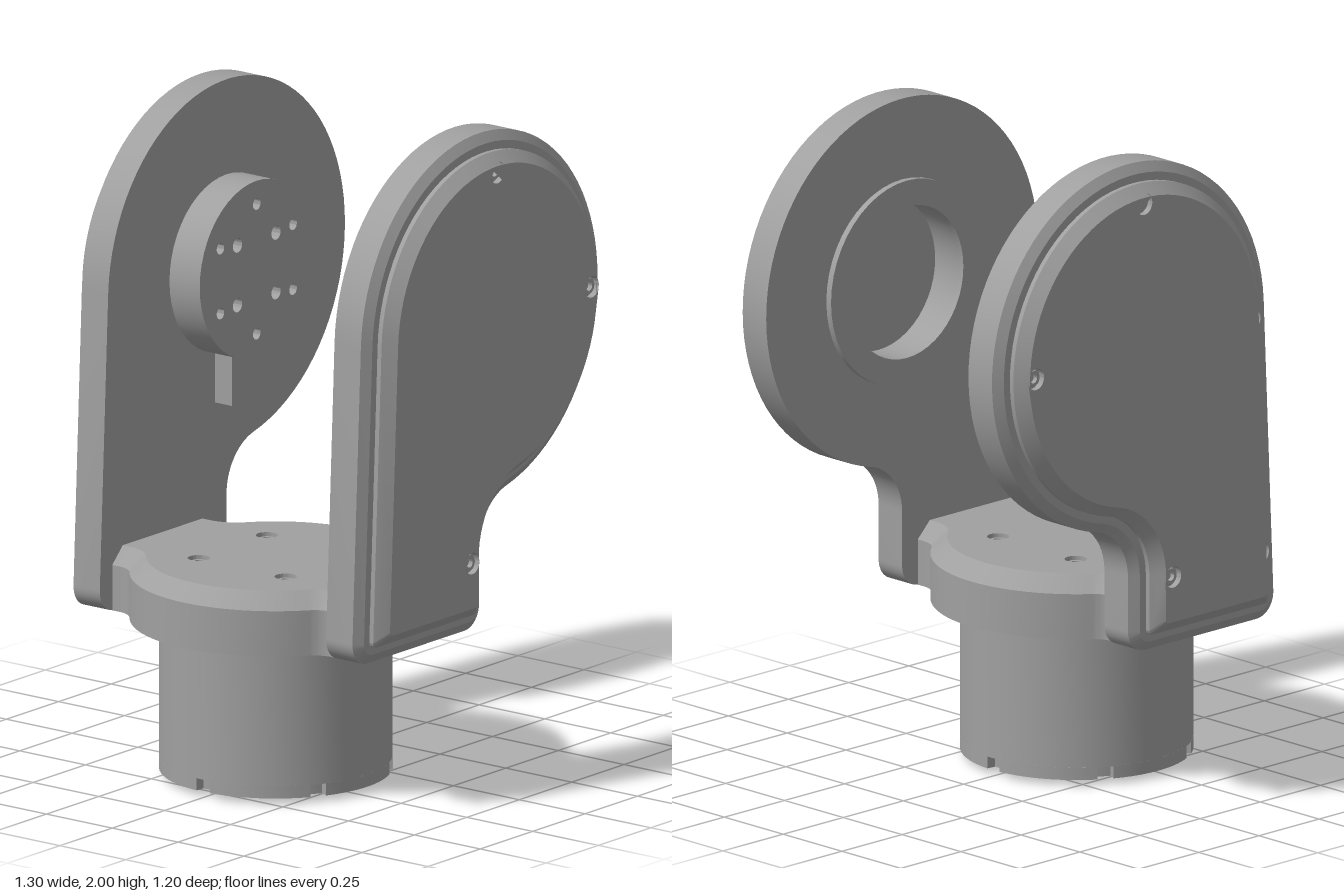
import * as THREE from 'three';
import { mergeGeometries, toCreasedNormals } from 'three/addons/utils/BufferGeometryUtils.js';

const PI = Math.PI;
const metal = new THREE.MeshStandardMaterial({ color: 0xa0a0a0 });
metal.name = 'grey metal';

const HUB = { x: 0.085, y: 1.435 }; // joint axis of the two arms
const BASE_X = -0.22;               // axis of the base motor

// Keeps only positions, then rebuilds normals with sharp edges
function clean(geo) {
  const g = geo.index ? geo.toNonIndexed() : geo;
  g.deleteAttribute('uv');
  return toCreasedNormals(g, 0.5);
}

// Reverses the facing of a non-indexed geometry
function flip(geo) {
  const p = geo.attributes.position;
  const a = new THREE.Vector3(), b = new THREE.Vector3();
  for (let i = 0; i < p.count; i += 3) {
    a.fromBufferAttribute(p, i + 1);
    b.fromBufferAttribute(p, i + 2);
    p.setXYZ(i + 1, b.x, b.y, b.z);
    p.setXYZ(i + 2, a.x, a.y, a.z);
  }
  return toCreasedNormals(geo, 0.5);
}

const mirrorZ = (geo) => flip(geo.clone().scale(1, 1, -1));

function add(parent, name, geo) {
  const mesh = new THREE.Mesh(geo, metal);
  mesh.name = name;
  parent.add(mesh);
}

const circle = (x, y, r) => new THREE.Path().absarc(x, y, r, 0, 2 * PI, false);

function disc(x, y, r, holes = []) {
  const s = new THREE.Shape().absarc(x, y, r, 0, 2 * PI, false);
  s.holes = holes;
  return s;
}

function ringOfHoles(x, y, dist, r, n, phase = 0) {
  return Array.from({ length: n }, (_, i) => {
    const a = phase + (i * 2 * PI) / n;
    return circle(x + dist * Math.cos(a), y + dist * Math.sin(a), r);
  });
}

function extrude(shape, z0, z1) {
  const g = new THREE.ExtrudeGeometry(shape, { depth: z1 - z0, bevelEnabled: false, curveSegments: 24 });
  return clean(g.translate(0, 0, z0));
}

// Points along an arc, from angle a0 to a1
function arc(x, y, r, a0, a1, n) {
  return Array.from({ length: n + 1 }, (_, i) => {
    const a = a0 + ((a1 - a0) * i) / n;
    return new THREE.Vector2(x + r * Math.cos(a), y + r * Math.sin(a));
  });
}

// Drops points that coincide with the one before
const dedupe = (pts) => pts.filter((p, i) => p.distanceTo(pts[(i + pts.length - 1) % pts.length]) > 1e-5);

// Stacks inset outlines at [inset, z] levels and closes both ends
function loft(outline, levels, bottomHoles = [], topHoles = []) {
  const loops = levels.map(([d]) => outline(d));
  const n = loops[0].length, top = levels.length - 1, pos = [], idx = [];
  loops.forEach((l, k) => l.forEach((p) => pos.push(p.x, p.y, levels[k][1])));
  for (let k = 0; k < top; k++)
    for (let i = 0; i < n; i++) {
      const a = k * n + i, b = k * n + ((i + 1) % n);
      idx.push(a, b, b + n, a, b + n, a + n);
    }
  const side = new THREE.BufferGeometry();
  side.setAttribute('position', new THREE.Float32BufferAttribute(pos, 3));
  side.setIndex(idx);
  const cap = (k, holes) => {
    const s = new THREE.Shape(loops[k]);
    s.holes = holes;
    return clean(new THREE.ShapeGeometry(s, 24).translate(0, 0, levels[k][1]));
  };
  return clean(mergeGeometries([clean(side), flip(cap(0, bottomHoles)), cap(top, topHoles)]));
}

// Recess or screw seat turned about z, opening towards +z
function turned(points, x, y, z) {
  const g = new THREE.LatheGeometry(points.map(([r, h]) => new THREE.Vector2(r, h)), 48);
  return clean(g.rotateX(PI / 2).translate(x, y, z));
}

const screw = (x, y, z) => turned(
  [[0.033, 0], [0.033, -0.02], [0.027, -0.02], [0.024, -0.01], [0.014, -0.01], [0.014, -0.025], [0, -0.025]], x, y, z);

// Comma-shaped arm outline, inset by d
function armOutline(d) {
  const R = 0.565, rf = 0.17, alpha = 0.044;
  const rc = Math.max(0.07 - d, 0.015), cy = 0.48 + d + rc;
  const fx = 0.085 + rf, fy = HUB.y - Math.sqrt((R + rf) ** 2 - rf ** 2);
  const cx = HUB.x - (R - d - rc - (cy - HUB.y) * Math.sin(alpha)) / Math.cos(alpha);
  const toHub = Math.atan2(HUB.y - fy, HUB.x - fx);
  return dedupe([
    ...arc(cx, cy, rc, PI - alpha, 1.5 * PI, 10),
    ...arc(0.085 - d - rc, cy, rc, -PI / 2, 0, 10),
    ...arc(fx, fy, rf + d, PI, toHub, 14),
    ...arc(HUB.x, HUB.y, R - d, toHub - PI, PI - alpha, 60),
  ]);
}

// Round collar with two flat lugs, inset by d
function collarOutline(d) {
  const R = 0.435, rf = 0.08, hw = 0.24, end = 0.435, X = BASE_X;
  const fx = hw + rf, fz = Math.sqrt((R + rf) ** 2 - fx ** 2), t = Math.atan2(fz, fx);
  const half = [
    ...arc(0, 0, R - d, -t, t, 28),
    ...arc(fx, fz, rf + d, PI + t, PI, 10),
    new THREE.Vector2(hw - d, end),
    new THREE.Vector2(d - hw, end),
    ...arc(-fx, fz, rf + d, 0, -t, 10),
  ];
  const turnedHalf = half.map((p) => p.clone().negate());
  return dedupe([...half, ...turnedHalf].map((p) => p.setX(p.x + X)));
}

// Disc outline with six rim notches
function notchedDisc(r, depth, halfWidth) {
  const h = Math.asin(halfWidth / r), pts = [];
  for (let i = 0; i < 6; i++) {
    const a = (i * PI) / 3;
    pts.push(...arc(BASE_X, 0, r - depth, a - h, a + h, 4));
    pts.push(...arc(BASE_X, 0, r, a + h, a + PI / 3 - h, 10));
  }
  return new THREE.Shape(pts);
}

export function createModel() {
  const model = new THREE.Group();
  model.name = 'rotary joint bracket';

  // Arms: body, stepped cover and five cover screws each
  const screws = [[0.085, 1.89], [-0.365, 1.44], [0.535, 1.44], [-0.4, 0.71], [-0.035, 0.71]];
  const body = (holes) => loft(armOutline, [[0, 0.43], [0, 0.53], [0.03, 0.55]], holes);
  const cover = loft(armOutline, [[0.055, 0.549], [0.055, 0.565], [0.09, 0.6]], [],
    screws.map(([x, y]) => circle(x, y, 0.033)));
  const screwSet = mergeGeometries(screws.map(([x, y]) => screw(x, y, 0.6)));

  const front = new THREE.Group();
  front.name = 'frontArm';
  add(front, 'frontArmBody', body([circle(HUB.x, HUB.y, 0.235)]));
  add(front, 'frontArmCover', cover);
  add(front, 'frontArmScrews', screwSet);
  // Bearing ring and recess on the inner side
  add(front, 'bearingRing', extrude(disc(HUB.x, HUB.y, 0.315, [circle(HUB.x, HUB.y, 0.235)]), 0.41, 0.431));
  add(front, 'bearingRecess', mirrorZ(turned([[0.235, 0], [0.235, -0.1], [0, -0.1]], HUB.x, HUB.y, -0.43)));

  const back = new THREE.Group();
  back.name = 'backArm';
  add(back, 'backArmBody', mirrorZ(body([])));
  add(back, 'backArmCover', mirrorZ(cover));
  add(back, 'backArmScrews', mirrorZ(screwSet));
  // Drive flange with bolt holes and a cable tab below
  const flangeHoles = [
    ...ringOfHoles(HUB.x, HUB.y, 0.2, 0.018, 6, PI / 6),
    ...ringOfHoles(HUB.x, HUB.y, 0.13, 0.022, 4, PI / 4),
  ];
  add(back, 'driveFlange', extrude(disc(HUB.x, HUB.y, 0.272, flangeHoles), -0.435, -0.315));
  add(back, 'cableTab', new THREE.BoxGeometry(0.11, 0.2, 0.07).translate(HUB.x, 1.115, -0.4));

  // Collar, built flat and turned upright
  const base = new THREE.Group();
  base.name = 'base';
  base.rotation.x = -PI / 2;
  const bolts = [-0.38, -0.055].flatMap((x) => [-0.165, 0.165].map((y) => [x, y]));
  add(base, 'collar', loft(collarOutline, [[0, 0.48], [0, 0.62], [0.05, 0.67]],
    [circle(BASE_X, 0, 0.385)], bolts.map(([x, y]) => circle(x, y, 0.033))));
  add(base, 'collarScrews', mergeGeometries(bolts.map(([x, y]) => screw(x, y, 0.67))));
  const hollow = turned([[0.385, 0], [0.385, -0.13], [0, -0.13]], BASE_X, 0, -0.48);
  add(base, 'collarHollow', mirrorZ(hollow));

  // Motor housing with a notched lower rim
  add(base, 'motorHousing', extrude(disc(BASE_X, 0, 0.347), 0.055, 0.612));
  const rim = notchedDisc(0.347, 0.03, 0.025);
  rim.holes = [circle(BASE_X, 0, 0.222), ...ringOfHoles(BASE_X, 0, 0.29, 0.012, 12, PI / 12)];
  add(base, 'motorRim', extrude(rim, 0.018, 0.056));

  // Output hub with centre bore, three windows and bolt holes
  const windows = [0, 1, 2].map((i) => {
    const a = PI / 2 + (i * 2 * PI) / 3;
    return new THREE.Path([
      ...arc(BASE_X, 0, 0.14, a - 0.38, a + 0.38, 8),
      ...arc(BASE_X, 0, 0.085, a + 0.25, a - 0.25, 6),
    ]);
  });
  add(base, 'outputHub', extrude(disc(BASE_X, 0, 0.212, [
    circle(BASE_X, 0, 0.045), ...windows, ...ringOfHoles(BASE_X, 0, 0.175, 0.013, 9, PI / 18),
    ...ringOfHoles(BASE_X, 0, 0.11, 0.016, 3, -PI / 2),
  ]), 0, 0.056));

  model.add(front, back, base);
  return model;
}
